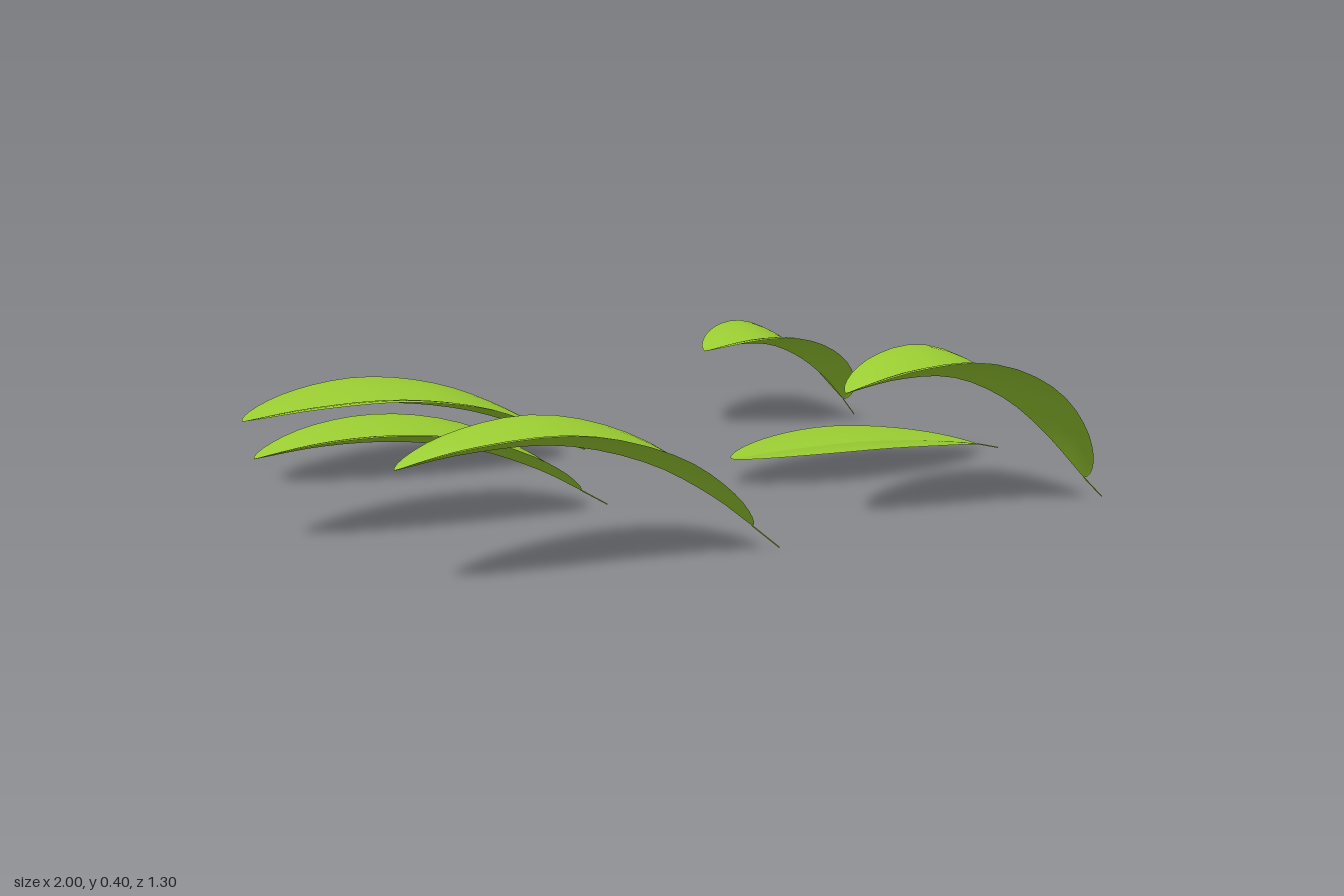
import * as THREE from 'three';

// Each leaf: z of the midrib, greatest half width, fold height at the edge,
// and the midrib as x, y pairs from tip to base; the last pair is the stem's foot.
const LEAVES = [
  { z: -0.48, half: 0.172, rise: 0.036, rib: [-0.91, 0.18, -0.75, 0.192, -0.55, 0.188, -0.35, 0.15, -0.2, 0.095, -0.08, 0.037, 0, 0] },
  { z: 0.015, half: 0.122, rise: 0.04, rib: [-1, 0.215, -0.85, 0.225, -0.68, 0.215, -0.5, 0.175, -0.35, 0.11, -0.24, 0.045, -0.17, 0] },
  { z: 0.487, half: 0.108, rise: 0.043, rib: [-0.845, 0.285, -0.7, 0.3, -0.5, 0.293, -0.3, 0.23, -0.15, 0.14, -0.05, 0.06, 0.02, 0] },
  { z: -0.48, half: 0.172, rise: 0.045, rib: [0.37, 0.235, 0.48, 0.245, 0.58, 0.235, 0.68, 0.19, 0.77, 0.12, 0.835, 0.05, 0.875, 0] },
  { z: 0.025, half: 0.133, rise: 0.013, rib: [0.165, 0.072, 0.35, 0.075, 0.55, 0.07, 0.75, 0.05, 0.85, 0.035, 0.925, 0.02, 1, 0] },
  { z: 0.515, half: 0.134, rise: 0.057, rib: [0.165, 0.335, 0.3, 0.352, 0.45, 0.343, 0.6, 0.28, 0.72, 0.19, 0.86, 0.055, 0.92, 0] },
];
const ALONG = 24;
const ACROSS = 5;

// One half of a blade, from the midrib out to the edge on the given side of z
function halfBlade(curve, half, rise, side) {
  const positions = [];
  const indices = [];
  for (let i = 0; i <= ALONG; i++) {
    // rows crowd together near both rounded ends
    const t = (1 - Math.cos((Math.PI * i) / ALONG)) / 2;
    const p = curve.getPointAt(t);
    const tangent = curve.getTangentAt(t);
    const width = Math.pow(Math.max(0, Math.sin(Math.PI * t)), 0.6);
    for (let j = 0; j <= ACROSS; j++) {
      const s = j / ACROSS;
      const lift = rise * width * Math.sin((s * Math.PI) / 2);
      positions.push(p.x - tangent.y * lift, p.y + tangent.x * lift, side * half * width * s);
      if (i < ALONG && j < ACROSS) {
        const a = i * (ACROSS + 1) + j;
        const b = a + ACROSS + 1;
        if (side > 0) indices.push(a, a + 1, b, a + 1, b + 1, b);
        else indices.push(a, b, a + 1, a + 1, b, b + 1);
      }
    }
  }
  const geometry = new THREE.BufferGeometry();
  geometry.setAttribute('position', new THREE.Float32BufferAttribute(positions, 3));
  geometry.setIndex(indices);
  geometry.computeVertexNormals();
  return geometry;
}

export function createModel() {
  const model = new THREE.Group();
  model.name = 'fallenLeaves';
  const green = new THREE.MeshStandardMaterial({ color: 0x9acd32, side: THREE.DoubleSide });

  LEAVES.forEach(({ z, half, rise, rib }, n) => {
    const leaf = new THREE.Group();
    leaf.name = `leaf${n + 1}`;
    leaf.position.z = z;

    const points = [];
    for (let i = 0; i < rib.length; i += 2) points.push(new THREE.Vector3(rib[i], rib[i + 1], 0));
    const foot = points.pop();
    const curve = new THREE.CatmullRomCurve3(points);

    // the two halves meet in a sharp crease at the midrib
    for (const side of [1, -1]) {
      const blade = new THREE.Mesh(halfBlade(curve, half, rise, side), green);
      blade.name = side > 0 ? 'frontBlade' : 'backBlade';
      leaf.add(blade);
    }

    // hair-thin stem down to the ground
    const stem = new THREE.Mesh(
      new THREE.TubeGeometry(new THREE.LineCurve3(points[points.length - 1], foot), 1, 0.0015, 5),
      green
    );
    stem.name = 'stem';
    leaf.add(stem);
    model.add(leaf);
  });
  return model;
}
